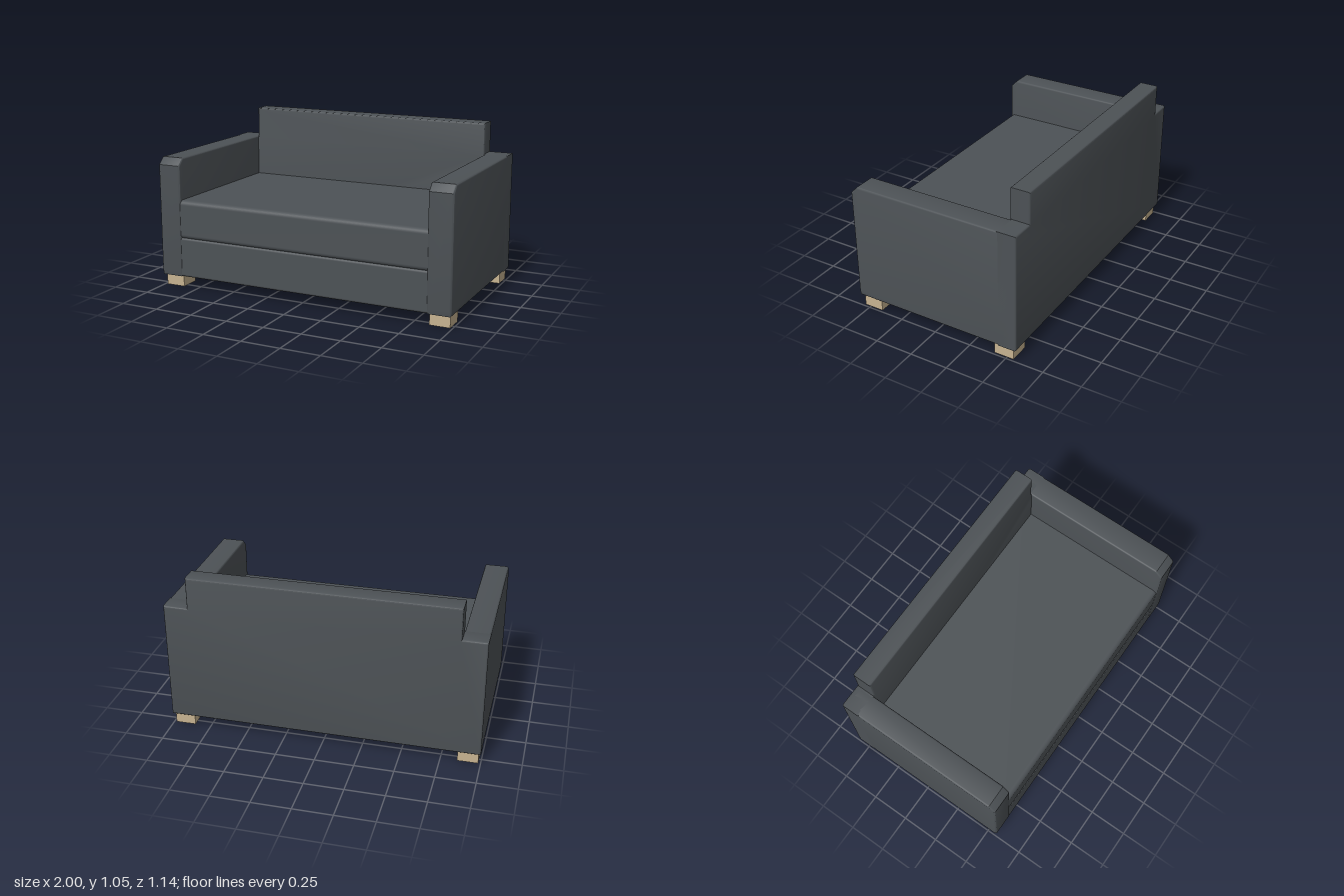
import * as THREE from 'three';
import { toCreasedNormals } from 'three/addons/utils/BufferGeometryUtils.js';
import { RoundedBoxGeometry } from 'three/addons/geometries/RoundedBoxGeometry.js';

const fabric = new THREE.MeshStandardMaterial({ color: 0x4d5256 });
fabric.name = 'charcoal fabric';
const wood = new THREE.MeshStandardMaterial({ color: 0xc8b491 });
wood.name = 'pale wood';

const BOTTOM = 0.075, ARM_TOP = 0.852, BACK_TOP = 1.055;
const INNER = 0.845, DEPTH = 0.57;

// Extrudes an outline to a full thickness, with soft edges kept inside it
function softSlab(points, thickness, bevel = 0.012) {
  const shape = new THREE.Shape(points.map(([x, y]) => new THREE.Vector2(x, y)));
  const geometry = new THREE.ExtrudeGeometry(shape, {
    depth: thickness - 2 * bevel,
    bevelThickness: bevel, bevelSize: bevel, bevelOffset: -bevel, bevelSegments: 3,
  });
  geometry.translate(0, 0, bevel - thickness / 2);
  return toCreasedNormals(geometry, 0.6);
}

export function createModel() {
  const sofa = new THREE.Group();
  sofa.name = 'sofa';
  const add = (name, geometry, material, x, y, z) => {
    const mesh = new THREE.Mesh(geometry, material);
    mesh.name = name;
    mesh.position.set(x, y, z);
    sofa.add(mesh);
  };
  // Rounded box spanning y0..y1 and z0..z1, centred on x
  const cushion = (name, width, y0, y1, z0, z1, radius) => add(name,
    new RoundedBoxGeometry(width, y1 - y0, z1 - z0, 4, radius),
    fabric, 0, (y0 + y1) / 2, (z0 + z1) / 2);

  // Stepped back panel: full width behind the arms, narrower above them
  const back = softSlab([
    [-1, BOTTOM], [1, BOTTOM], [1, ARM_TOP], [INNER, ARM_TOP],
    [INNER, BACK_TOP], [-INNER, BACK_TOP], [-INNER, ARM_TOP], [-1, ARM_TOP],
  ], 0.13);
  add('backrest', back, fabric, 0, 0, -DEPTH + 0.065);

  // Arms with a clipped upper front corner
  const arm = softSlab([
    [-0.55, BOTTOM], [DEPTH - 0.005, BOTTOM], [DEPTH, BOTTOM + 0.03],
    [DEPTH, 0.806], [0.525, ARM_TOP], [-0.55, ARM_TOP],
  ], 1 - INNER);
  arm.rotateY(-Math.PI / 2);
  for (const side of [1, -1]) {
    add(side > 0 ? 'leftArm' : 'rightArm', arm, fabric, side * (1 + INNER) / 2, 0, 0);
  }

  // Seat base and cushion, tucked into the arms and back
  cushion('seatBase', 1.75, BOTTOM, 0.336, -0.54, 0.567, 0.016);
  cushion('seatCushion', 1.76, 0.328, 0.582, -0.54, 0.567, 0.03);

  // Block feet
  const foot = new THREE.BoxGeometry(0.13, 0.085, 0.13);
  for (const x of [0.92, -0.92]) {
    for (const z of [0.475, -0.48]) {
      add((z > 0 ? 'front' : 'back') + (x > 0 ? 'Left' : 'Right') + 'Foot', foot, wood, x, 0.0425, z);
    }
  }
  return sofa;
}
